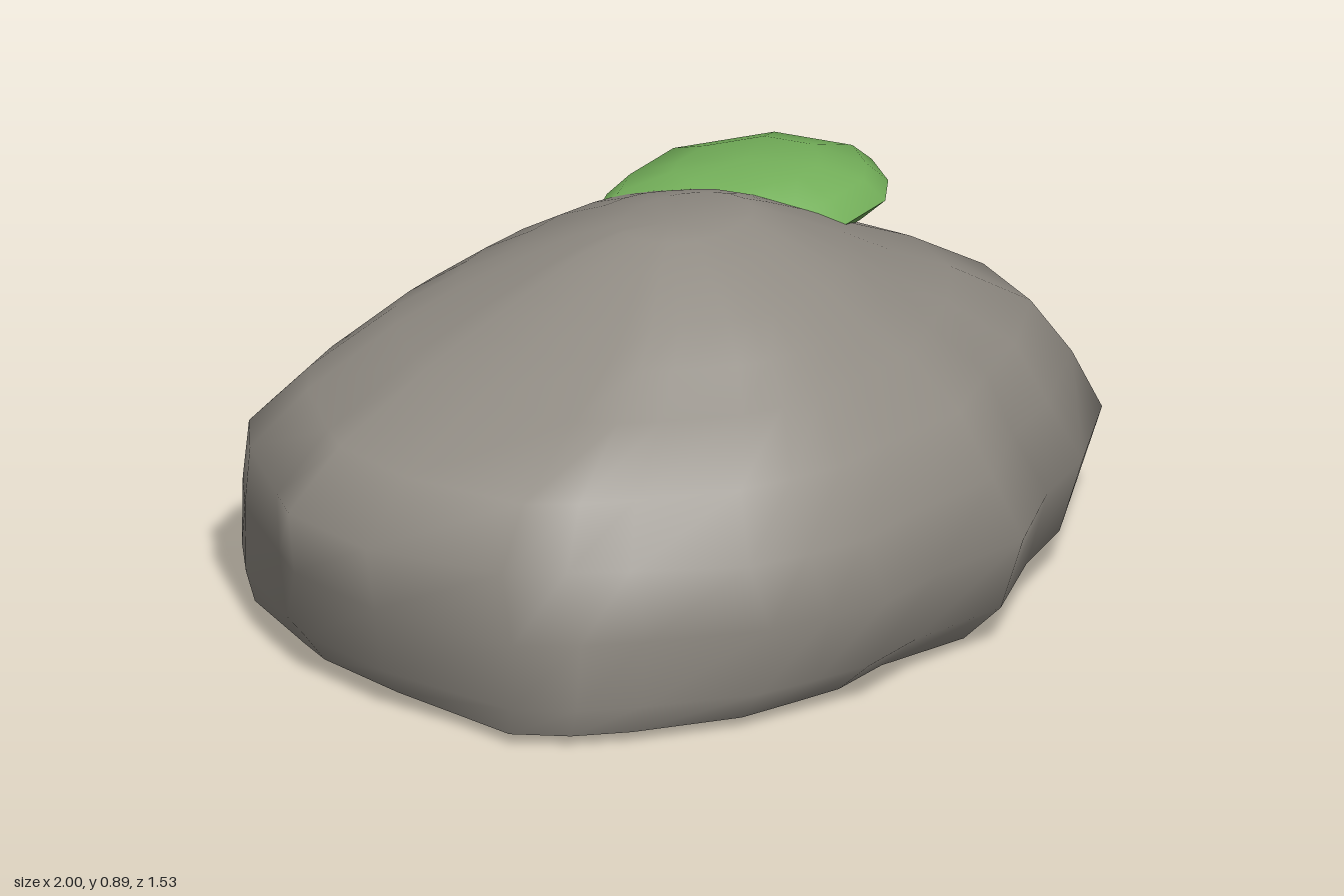
import * as THREE from 'three';
import { mergeVertices } from 'three/addons/utils/BufferGeometryUtils.js';

// Lofts closed rings of [x, y, z] points, listed from bottom to top
function loft(rings) {
  const n = rings[0].length;
  const index = [];
  for (let r = 0; r < rings.length - 1; r++) {
    for (let j = 0; j < n; j++) {
      const k = (j + 1) % n;
      const a = r * n + j, b = r * n + k;
      index.push(a, a + n, b, a + n, b + n, b);
    }
  }
  const geo = new THREE.BufferGeometry();
  geo.setAttribute('position', new THREE.Float32BufferAttribute(rings.flat(2), 3));
  geo.setIndex(index);
  const merged = mergeVertices(geo, 1e-4);
  merged.computeVertexNormals();
  return merged;
}

// Widest outline of the boulder, x and z
const OUTLINE = [
  [1, -0.02], [0.96, 0.24], [0.75, 0.43], [0.58, 0.52], [0.39, 0.68], [0.13, 0.71], [-0.05, 0.76],
  [-0.2, 0.745], [-0.35, 0.72], [-0.6, 0.6], [-0.73, 0.53], [-0.85, 0.44], [-0.98, 0.11], [-1, -0.15],
  [-0.96, -0.25], [-0.86, -0.49], [-0.77, -0.61], [-0.65, -0.67], [-0.48, -0.7], [-0.2, -0.72],
  [0.05, -0.735], [0.25, -0.76], [0.4, -0.69], [0.65, -0.57], [0.72, -0.43], [0.87, -0.25],
];

// Boulder levels: y, xMin, xMax, zMin, zMax, roundness, corner bulge
const LEVELS = [
  [0.027, -0.87, 0.78, -0.69, 0.66, 0, 0.09],
  [0.1, -0.93, 0.91, -0.74, 0.73, 0, 0.04],
  [0.26, -0.965, 1, -0.76, 0.765, 0, 0.01],
  [0.42, -1, 0.92, -0.72, 0.755, 0, -0.015],
  [0.55, -0.87, 0.83, -0.62, 0.64, 0.2, 0],
  [0.65, -0.62, 0.66, -0.57, 0.5, 0.4, 0],
  [0.72, -0.47, 0.51, -0.49, 0.41, 0.6, 0],
  [0.78, -0.35, 0.4, -0.39, 0.31, 0.8, 0],
  [0.84, -0.22, 0.27, -0.26, 0.17, 1, 0],
  [0.87, -0.12, 0.2, -0.16, 0.07, 1, 0],
];

// Flat cuts: horizontal direction x and z, slope, distance
const CUTS = [
  [-0.58, 0.81, 0.24, 0.91], // chipped front corner
  [0.5, -0.87, 2.3, 2.2], // seat under the moss
];

// Fits the outline to one level, blending towards an ellipse as it rounds off
function boulderRing([y, x0, x1, z0, z1, round, bulge]) {
  const cx = (x0 + x1) / 2, cz = (z0 + z1) / 2;
  return OUTLINE.map(([u, oz]) => {
    const v = oz / 0.76;
    const r2 = u * u + v * v;
    const corner = (2 * u * v / r2) ** 2;
    const s = 1 + (1 / Math.sqrt(r2) - 1) * round + bulge * corner;
    let x = cx + u * s * (x1 - x0) / 2;
    let z = cz + v * s * (z1 - z0) / 2;
    for (const [nx, nz, slope, d] of CUTS) {
      const over = Math.max(0, nx * x + nz * z + slope * y - d);
      x -= nx * over;
      z -= nz * over;
    }
    return [x, y, z];
  });
}

// A ring shrunk to one point, closing a loft
const point = (n, x, y, z) => Array.from({ length: n }, () => [x, y, z]);

// Moss outline and its scaled rings
const MOSS = [
  [0.71, -0.25], [0.67, -0.14], [0.6, -0.06], [0.46, -0.015], [0.33, -0.01], [0.18, -0.05], [0.08, -0.16],
  [0.05, -0.27], [0.05, -0.39], [0.14, -0.46], [0.33, -0.52], [0.6, -0.44],
];
const mossRing = (s, y) => MOSS.map(([x, z]) => [0.38 + (x - 0.38) * s, y, -0.26 + (z + 0.26) * s]);

export function createModel() {
  const stone = new THREE.MeshStandardMaterial({ color: 0x918c84 });
  stone.name = 'grey stone';
  const green = new THREE.MeshStandardMaterial({ color: 0x74b05a });
  green.name = 'moss green';

  const group = new THREE.Group();
  group.name = 'mossyBoulder';
  const add = (name, rings, material) => {
    const mesh = new THREE.Mesh(loft(rings), material);
    mesh.name = name;
    group.add(mesh);
  };

  // Boulder body and its nearly flat underside
  const rings = LEVELS.map(boulderRing);
  const n = OUTLINE.length;
  add('boulder', [...rings, point(n, -0.03, 0.887, -0.02)], stone);
  const inner = rings[0].map(([x, , z]) => [x * 0.5, 0.008, z * 0.5]);
  add('boulderUnderside', [point(n, 0, 0, 0), inner, rings[0]], stone);

  // Moss cushion, split at its sharp rim
  const m = MOSS.length;
  const rim = mossRing(1, 0.747);
  add('mossTop', [rim, mossRing(0.84, 0.795), mossRing(0.5, 0.828), point(m, 0.37, 0.84, -0.26)], green);
  add('mossUnderside', [point(m, 0.38, 0.672, -0.28), mossRing(0.5, 0.678), mossRing(0.82, 0.7), rim], green);
  return group;
}
